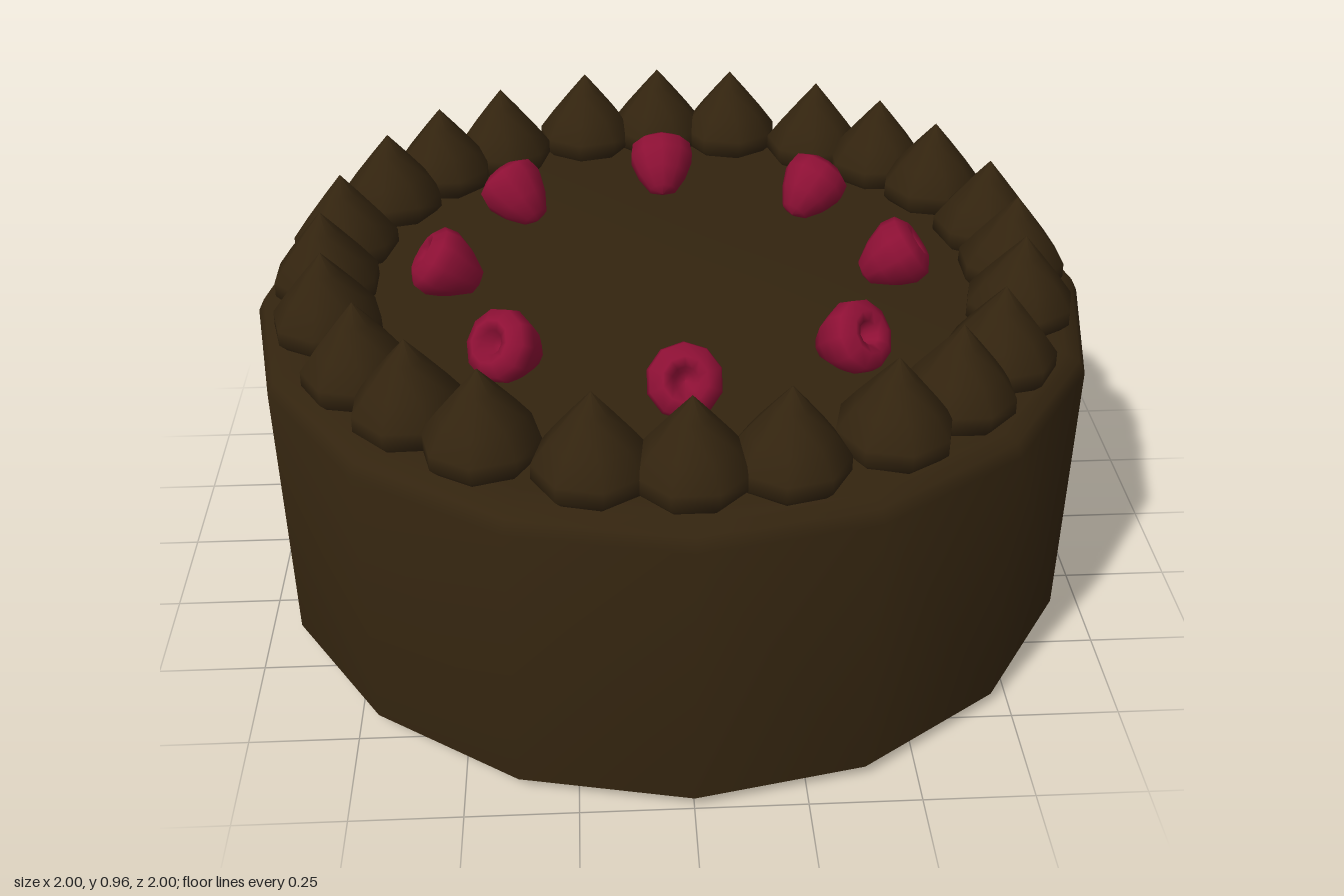
import * as THREE from 'three';
import { toCreasedNormals } from 'three/addons/utils/BufferGeometryUtils.js';

const lathe = (profile, sides, phase = 0) =>
  new THREE.LatheGeometry(profile.map(([r, y]) => new THREE.Vector2(r, y)), sides, phase);

export function createModel() {
  const cake = new THREE.Group();
  cake.name = 'cake';
  const chocolate = new THREE.MeshStandardMaterial({ name: 'chocolate', color: 0x33240f });
  const raspberry = new THREE.MeshStandardMaterial({ name: 'raspberry', color: 0x8e1035 });

  const add = (name, geometry, material, parent = cake) => {
    const mesh = new THREE.Mesh(geometry, material);
    mesh.name = name;
    parent.add(mesh);
    return mesh;
  };

  // sixteen-sided sponge with softened rims
  const body = lathe([[0, 0], [0.965, 0], [1, 0.03], [1, 0.7], [0.985, 0.73], [0.95, 0.745], [0.9, 0.75], [0, 0.75]], 16);
  add('spongeBody', toCreasedNormals(body, 0.75), chocolate);

  // ring of piped cream peaks, six per quarter turn
  const peak = lathe([[0, 0.735], [0.1, 0.735], [0.128, 0.765], [0.127, 0.8], [0.09, 0.85], [0.04, 0.912], [0, 0.96]], 8, Math.PI / 8);
  const creamRing = new THREE.Group();
  creamRing.name = 'creamRing';
  cake.add(creamRing);
  for (let quarter = 0; quarter < 4; quarter++) {
    for (const degrees of [0, 14, 31.2, 45, 58.8, 76]) {
      const angle = THREE.MathUtils.degToRad(degrees + quarter * 90);
      const dollop = add('creamPeak', peak, chocolate, creamRing);
      dollop.position.set(0.827 * Math.sin(angle), 0, 0.827 * Math.cos(angle));
      dollop.rotation.y = angle;
    }
  }

  // hollow berries, open ends tipped up and outward
  const berryShape = lathe([[0, -0.085], [0.035, -0.075], [0.065, -0.03], [0.085, 0.02], [0.08, 0.055], [0.05, 0.075], [0.028, 0.065], [0.02, 0.035], [0, 0.03]], 10);
  const berryRing = new THREE.Group();
  berryRing.name = 'berryRing';
  cake.add(berryRing);
  for (let i = 0; i < 8; i++) {
    const spoke = new THREE.Group();
    spoke.name = 'berrySpoke';
    spoke.rotation.y = (i * Math.PI) / 4;
    berryRing.add(spoke);
    const berry = add('berry', berryShape, raspberry, spoke);
    berry.position.set(0, 0.805, 0.535);
    berry.rotation.x = 0.95;
  }
  return cake;
}
